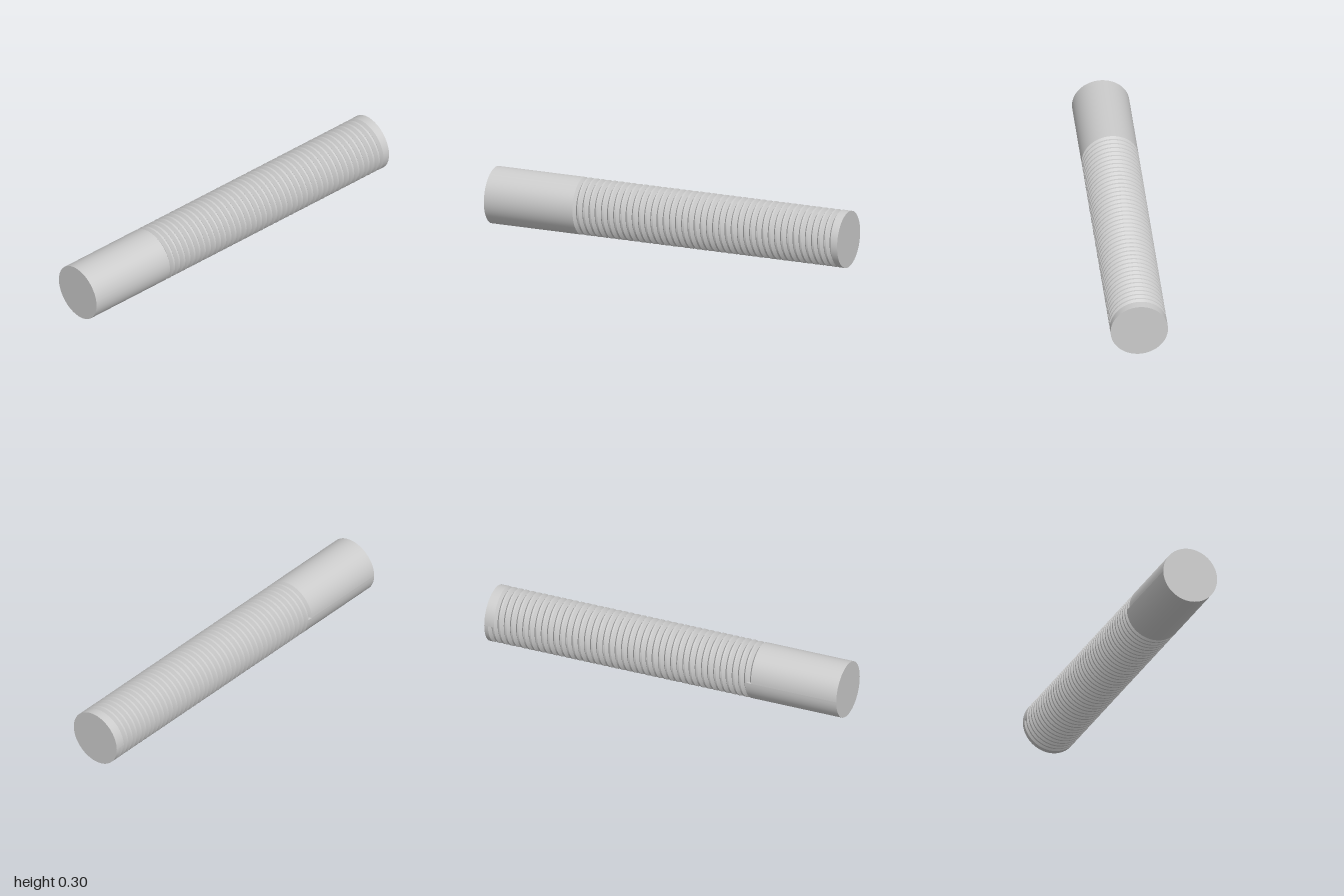
import * as THREE from 'three';

const RADIUS = 0.15, ROOT = 0.132;          // rod radius and thread root radius
const PITCH = 0.035, TURNS = 42, SEG = 72;  // right-hand thread
const HALF = 0.0125, START = -0.967;        // groove half width, centre of the first groove

export function createModel() {
  const group = new THREE.Group();
  const material = new THREE.MeshStandardMaterial({ color: 0xcccccc });
  const add = (name, geometry) => {
    const mesh = new THREE.Mesh(geometry, material);
    mesh.name = name;
    mesh.position.y = RADIUS;
    group.add(mesh);
    return mesh;
  };

  // Point at a number of turns around the z axis
  const point = (turn, r, z) => {
    const a = Math.PI + turn * Math.PI * 2;
    return [r * Math.cos(a), r * Math.sin(a), z];
  };
  const helix = (offset) => (turn) => START + turn * PITCH + offset;
  const lower = helix(-HALF), root = helix(0), upper = helix(HALF), next = helix(PITCH - HALF);

  // Band winding around the rod between two edges, each a radius and a z rule
  const ribbon = (from, to, r0, z0, r1, z1) => {
    const positions = [], index = [], n = (to - from) * SEG;
    for (let i = 0; i <= n; i++) {
      const t = from + i / SEG;
      positions.push(...point(t, r0, z0(t)), ...point(t, r1, z1(t)));
      if (i < n) {
        const a = i * 2;
        index.push(a, a + 2, a + 3, a, a + 3, a + 1);
      }
    }
    return build(positions, index);
  };
  const build = (positions, index) => {
    const g = new THREE.BufferGeometry();
    g.setAttribute('position', new THREE.Float32BufferAttribute(positions, 3));
    g.setIndex(index);
    g.computeVertexNormals();
    return g;
  };

  // Thread: two groove flanks and the flat crest between turns
  add('threadFlankBack', ribbon(0, TURNS, RADIUS, lower, ROOT, root));
  add('threadFlankFront', ribbon(0, TURNS, ROOT, root, RADIUS, upper));
  add('threadCrest', ribbon(0, TURNS - 1, RADIUS, upper, RADIUS, next));

  // Plain shank in front and narrow collar at the back
  add('shank', ribbon(TURNS - 1, TURNS, RADIUS, upper, RADIUS, () => 1));
  add('backCollar', ribbon(0, 1, RADIUS, () => -1, RADIUS, lower));

  // Small walls where the groove starts and stops
  const wall = (t, order) => build(
    [...point(t, RADIUS, lower(t)), ...point(t, ROOT, root(t)), ...point(t, RADIUS, upper(t))], order);
  add('grooveStart', wall(0, [0, 1, 2]));
  add('grooveEnd', wall(TURNS, [0, 2, 1]));

  // Flat end faces
  const disc = new THREE.CircleGeometry(RADIUS, SEG);
  add('frontFace', disc).position.z = 1;
  const back = add('backFace', disc);
  back.position.z = -1;
  back.rotation.y = Math.PI;

  return group;
}
